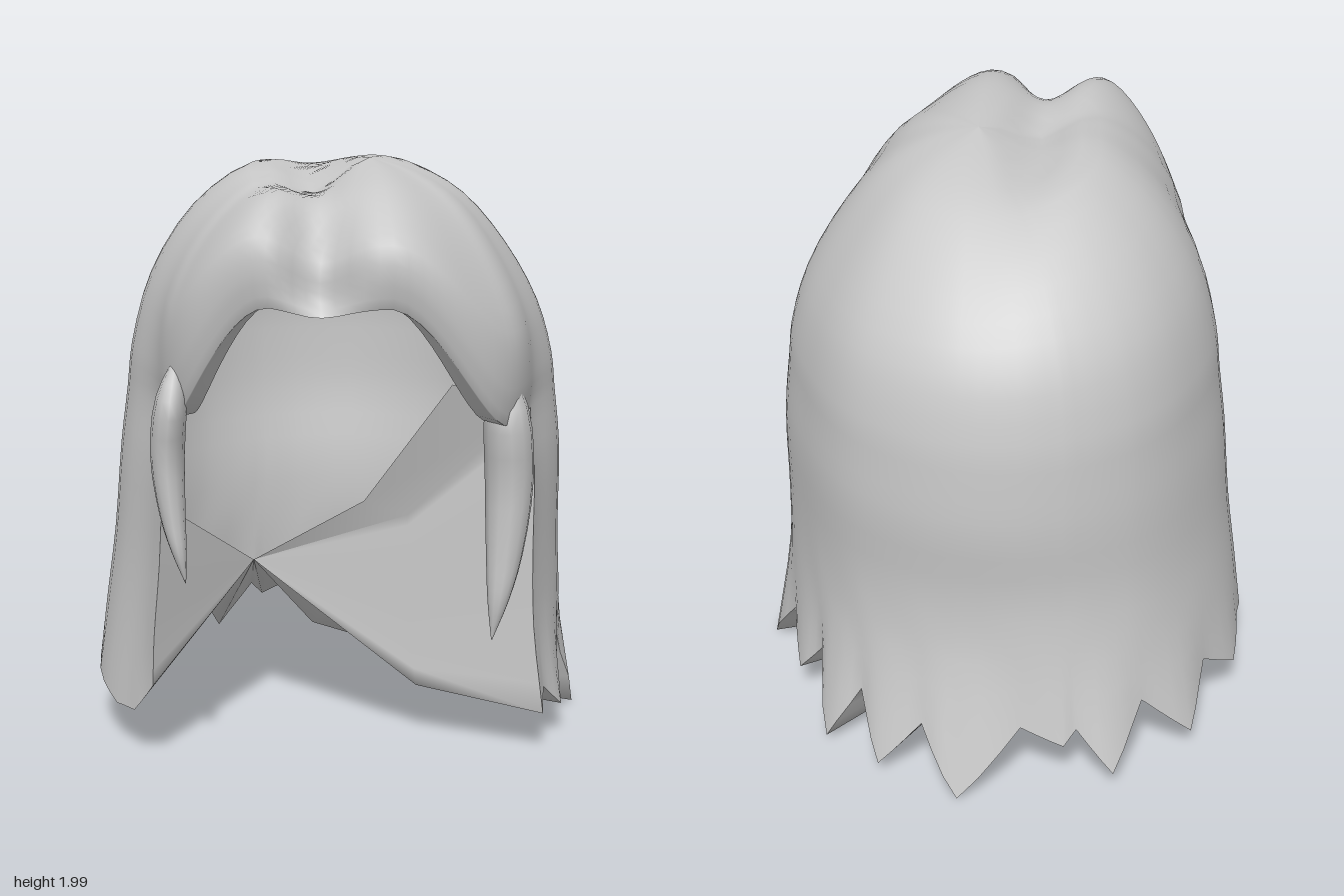
import * as THREE from 'three';

const V = (x, y, z) => new THREE.Vector3(x, y, z);
const { lerp, smoothstep, degToRad } = THREE.MathUtils;
const material = new THREE.MeshStandardMaterial({ color: 0xcccccc, side: THREE.DoubleSide });

// Plan radius every 30 degrees, from the front (+z) towards +x
const PLAN = [0.97, 0.945, 0.77, 0.785, 0.78, 0.84, 0.87, 0.84, 0.77, 0.735, 0.71, 0.88];
// Crown-to-hem profiles: [fraction of plan radius, height]
const FRONT = [[0, 2], [0.3, 1.985], [0.58, 1.955], [0.82, 1.895], [0.98, 1.82], [1, 1.73], [0.97, 1.62]];
const SIDE = [[0, 2], [0.25, 1.96], [0.48, 1.87], [0.7, 1.7], [0.87, 1.5], [0.95, 1.32], [0.97, 1.2],
  [1, 1], [1, 0.7], [1.01, 0.45]];
const BACK = [[0, 2], [0.3, 1.975], [0.53, 1.92], [0.77, 1.76], [0.93, 1.57], [0.99, 1.35], [1, 1.2],
  [1, 1], [0.97, 0.75], [0.98, 0.5]];
// Ragged hem: [angle, height], alternating tips and notches
const HEM = [[57, 0.15], [64, 0.21], [72, 0.12], [86, 0.33], [95, 0.02], [108, 0.25], [122, 0.14], [130, 0.28],
  [140, 0.04], [148, 0.27], [156, 0.06], [165, 0.24], [174, 0.01], [187, 0.27], [196, 0.2], [199, 0.25],
  [206, 0.08], [215, 0.29], [227, 0.1], [237, 0.28], [250, 0.16], [262, 0.24], [280, 0.18], [291, 0.15],
  [302, 0.17], [311, 0.29]];
const FACE_START = 311, FACE_END = 417, FACE_STEPS = 40;
const RIM = 18, ROWS = 30;

function planRadius(deg) {
  const f = (((deg % 360) + 360) % 360) / 30, i = Math.floor(f), t = f - i;
  const [a, b, c, d] = [-1, 0, 1, 2].map((k) => PLAN[(i + k + 12) % 12]);
  return b + 0.5 * t * (c - a + t * (2 * a - 5 * b + 4 * c - d + t * (3 * (b - c) + d - a)));
}

function place(deg, s, y) {
  const a = degToRad(deg), r = planRadius(deg) * s, k = Math.max(0, 1 - s);
  return V(0.12 * k + Math.sin(a) * r, y, 0.1 * k + Math.cos(a) * r);
}

// Groove of the parting, deepest at the forehead
function part(p) {
  const g = Math.exp(-(((p.x + 0.07) / 0.11) ** 2)) * smoothstep(p.y, 1.5, 1.75);
  p.y -= 0.085 * g * smoothstep(p.z, -0.7, 0.25);
  p.z -= 0.15 * g * smoothstep(p.z, 0.5, 0.95);
  return p;
}

// One strand line, from the crown to the hem, or to the turned-in rim over the face
function column(deg, hemY) {
  const isFace = hemY === undefined;
  const c = Math.cos(degToRad(deg)), sn = Math.sin(degToRad(deg)), onRight = Math.max(0, -sn);
  const fromFront = Math.abs(deg > 180 ? deg - 360 : deg);
  const wide = 1 - smoothstep(fromFront, 35, 90);
  const high = 1 - (sn > 0 ? smoothstep(fromFront, 8, 38) : smoothstep(fromFront, 14, 46));
  const wBack = c < 0 ? c * c : 0;
  const pts = SIDE.slice(0, isFace ? 7 : 10).map(([s, y], i) => {
    const inFront = i < 7 && c > 0;
    const [s2, y2] = inFront ? FRONT[i] : BACK[i];
    const bulge = i < 7 ? 0.12 * onRight * Math.sin((Math.PI * i) / 6) ** 2 : 0;
    const splay = 0.035 * onRight * Math.max(0, i - 7);
    return place(deg, lerp(s, s2, inFront ? wide : wBack) + splay, lerp(y, y2, inFront ? high : wBack) + bulge);
  });
  const flare = 1.1 + 0.09 * onRight;
  if (!isFace) pts.push(place(deg, lerp(flare, flare - 0.1, smoothstep(hemY, 0.02, 0.33)), hemY));
  const line = new THREE.CatmullRomCurve3(pts).getPoints(isFace ? RIM : ROWS);
  if (isFace) {
    const rim = line[RIM], inner = V(rim.x * 0.88, rim.y, rim.z * 0.88);
    for (let k = RIM + 1; k <= ROWS; k++) line.push(rim.clone().lerp(inner, (k - RIM) / (ROWS - RIM)));
  }
  return line.map(part);
}

function makeMesh(name, positions, index) {
  const g = new THREE.BufferGeometry();
  g.setAttribute('position', new THREE.Float32BufferAttribute(positions.flatMap((p) => [p.x, p.y, p.z]), 3));
  g.setIndex(index);
  g.computeVertexNormals();
  const mesh = new THREE.Mesh(g, material);
  mesh.name = name;
  return mesh;
}

// Quads between neighbouring lines of equal length
function skin(lines, keep = () => true) {
  const n = lines[0].length, index = [];
  lines.forEach((_, i) => {
    const j = (i + 1) % lines.length;
    for (let k = 0; k < n - 1; k++) {
      if (!keep(i, j, k)) continue;
      const a = i * n + k, b = j * n + k;
      index.push(a, b + 1, b, a, a + 1, b + 1);
    }
  });
  return index;
}

// Face-framing lock, sections given as [height, x, z, half width, half depth]
function lock(name, side, tipY, width) {
  const sections = [[1.42, 0.52, 0.56, 0.002, 0.002], [1.25, 0.54, 0.605, 0.07, 0.11], [1.0, 0.555, 0.585, 0.08, 0.1],
    [0.75, 0.54, 0.61, 0.06, 0.065], [0.6, 0.52, 0.63, 0.035, 0.04], [0.47, 0.5, 0.635, 0.002, 0.002]];
  const sides = 12, lines = [];
  for (let i = 0; i < sides; i++) {
    const a = (i / sides) * Math.PI * 2;
    const pts = sections.map(([y, x, z, hx, hz]) => V(side * (x + Math.cos(a) * hx * width),
      lerp(tipY, 1.42, (y - 0.47) / 0.95), z + Math.sin(a) * hz));
    lines.push(new THREE.CatmullRomCurve3(pts).getPoints(15));
  }
  const index = skin(lines);
  return makeMesh(name, lines.flat(), side > 0 ? index : index.reverse());
}

export function createModel() {
  const group = new THREE.Group();
  group.name = 'hair';

  // Strand lines around the back, then across the face opening
  const columns = [];
  HEM.forEach(([deg, y], i) => {
    columns.push(column(deg, y));
    const next = HEM[i + 1];
    if (next) for (const t of [1 / 3, 2 / 3]) columns.push(column(lerp(deg, next[0], t), lerp(y, next[1], t)));
  });
  const bodyCount = columns.length;
  for (let i = 1; i < FACE_STEPS; i++) columns.push(column(lerp(FACE_START, FACE_END, i / FACE_STEPS) % 360));
  const isBody = (i) => i < bodyCount;
  group.add(makeMesh('outerHair', columns.flat(),
    skin(columns, (i, j, k) => k < RIM || isBody(i) === isBody(j))));

  // Sagging underside, drawn from the hem and front edges to one point
  const left = columns[0], right = columns[bodyCount - 1];
  const border = [V(0.38, 1.28, 0.42), ...left.slice(RIM, ROWS),
    ...columns.slice(0, bodyCount).map((c) => c[ROWS]), ...right.slice(RIM + 4, ROWS).reverse()];
  const centre = V(-0.28, 0.58, 0.02);
  const spokes = border.map((b) => {
    const middle = centre.clone().lerp(b, 0.57);
    middle.y -= 0.14 * smoothstep(middle.x, -0.28, 0.15);
    return [centre, middle, b];
  });
  group.add(makeMesh('underside', spokes.flat(), skin(spokes, (i, j) => j > 0)));

  group.add(lock('leftLock', 1, 0.47, 1), lock('rightLock', -1, 0.67, 0.7));
  return group;
}
